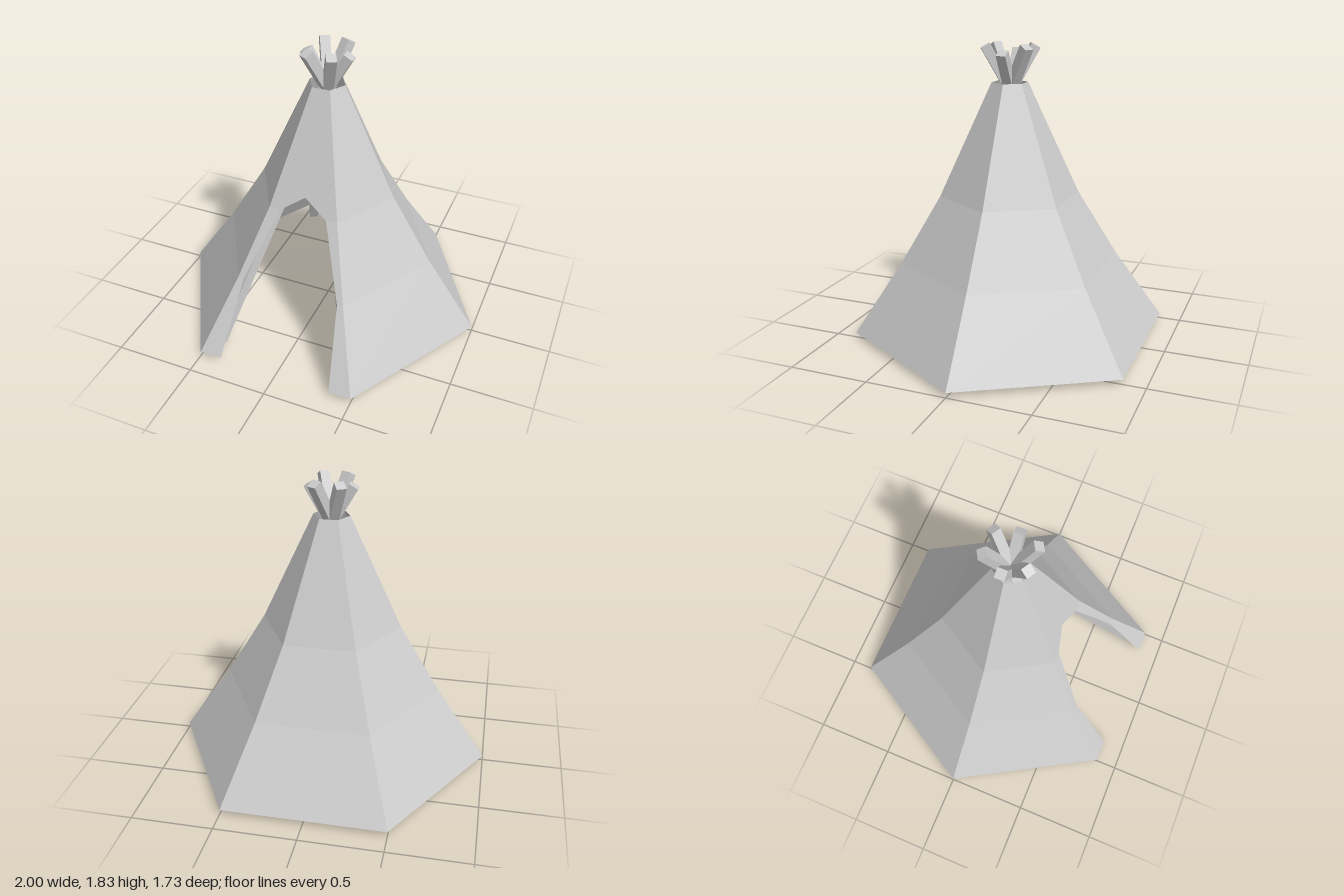
import * as THREE from 'three';

// Hexagonal canvas rings: height, corner radius, slight forward shift
const RINGS = [
  { y: 0.03, r: 1.0, z: 0 },
  { y: 0.48, r: 0.69, z: 0.01 },
  { y: 0.9, r: 0.437, z: 0.014 },
  { y: 1.6, r: 0.112, z: 0.014 },
];
// Half width of the doorway at the three lower rings, and its peak height
const DOOR = [0.36, 0.307, 0.148];
const DOOR_PEAK = 1.0;

const corner = (ring, k) => {
  const a = (k * Math.PI) / 3;
  return new THREE.Vector3(ring.r * Math.cos(a), ring.y, ring.z + ring.r * Math.sin(a));
};

// Mesh from a list of triangles / quads, each wound to face outward
function panelMesh(name, polygons, material) {
  const points = [];
  for (const p of polygons) {
    for (let i = 1; i < p.length - 1; i++) points.push(p[0], p[i], p[i + 1]);
  }
  const geometry = new THREE.BufferGeometry().setFromPoints(points);
  geometry.computeVertexNormals();
  const mesh = new THREE.Mesh(geometry, material);
  mesh.name = name;
  return mesh;
}

export function createModel() {
  const model = new THREE.Group();
  model.name = 'tent';
  const canvas = new THREE.MeshStandardMaterial({
    color: 0xcccccc, flatShading: true, side: THREE.DoubleSide,
  });
  const wood = new THREE.MeshStandardMaterial({ color: 0xcccccc, flatShading: true });

  // Five closed canvas panels; the front one (k = 1) holds the doorway
  for (const k of [0, 2, 3, 4, 5]) {
    const quads = [];
    for (let i = 0; i < RINGS.length - 1; i++) {
      const [lo, hi] = [RINGS[i], RINGS[i + 1]];
      quads.push([corner(lo, k + 1), corner(lo, k), corner(hi, k), corner(hi, k + 1)]);
    }
    model.add(panelMesh('canvasPanel', quads, canvas));
  }

  // Front panel: a strip on each side of the doorway, joined above its peak
  const front = [];
  const top = RINGS[3], shoulder = RINGS[2];
  const zTop = corner(top, 1).z, zShoulder = corner(shoulder, 1).z;
  const t = (DOOR_PEAK - shoulder.y) / (top.y - shoulder.y);
  const peak = new THREE.Vector3(0, DOOR_PEAK, THREE.MathUtils.lerp(zShoulder, zTop, t));
  const topMiddle = new THREE.Vector3(0, top.y, zTop);
  for (const side of [1, -1]) {
    const outer = (i) => corner(RINGS[i], side > 0 ? 1 : 2);
    const inner = (i) => outer(i).setX(side * DOOR[i]);
    const add = (p) => front.push(side > 0 ? p : p.reverse());
    for (let i = 0; i < 2; i++) add([inner(i), outer(i), outer(i + 1), inner(i + 1)]);
    add([inner(2), outer(2), outer(3)]);
    add([inner(2), outer(3), peak]);
    add([peak, outer(3), topMiddle]);
  }
  model.add(panelMesh('frontPanel', front, canvas));

  // Six square poles, one inside each corner, crossing near the top
  for (let k = 0; k < 6; k++) {
    const onSide = k % 3 === 0;
    const foot = onSide ? [0.873, 0.015] : [0.85, 0.055];
    const tip = onSide ? [-0.135, 1.785] : [-0.152, 1.82];
    const dx = tip[0] - foot[0], dy = tip[1] - foot[1];
    const pole = new THREE.Mesh(new THREE.BoxGeometry(0.06, Math.hypot(dx, dy), 0.06), wood);
    pole.name = 'pole';
    pole.position.set((foot[0] + tip[0]) / 2, (foot[1] + tip[1]) / 2, 0);
    pole.rotation.z = Math.atan2(-dx, dy);
    const holder = new THREE.Group();
    holder.name = 'poleHolder';
    holder.rotation.y = (-k * Math.PI) / 3;
    holder.position.z = 0.01;
    holder.add(pole);
    model.add(holder);
  }
  return model;
}
